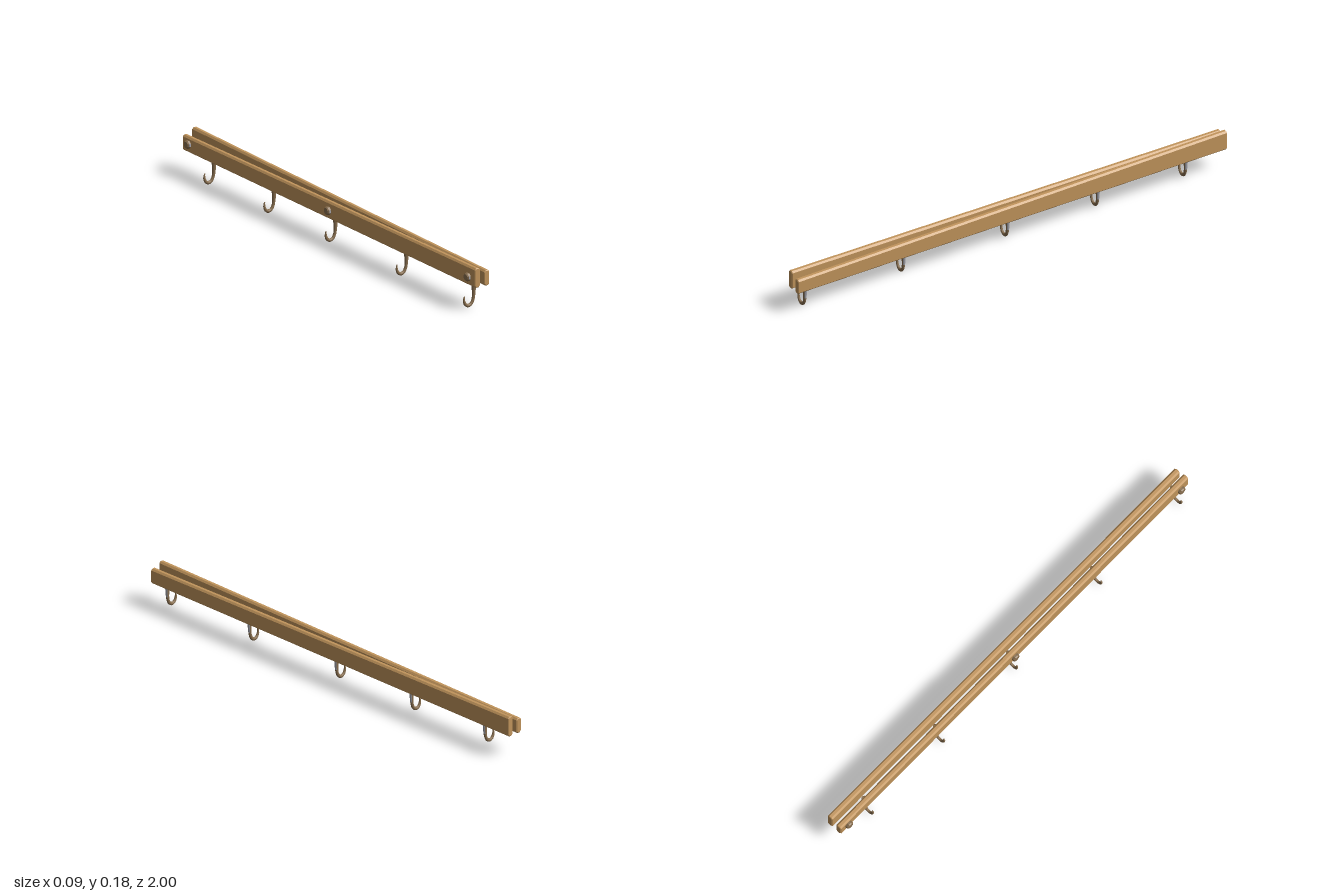
import * as THREE from 'three';

const wood = new THREE.MeshStandardMaterial({ color: 0xc2955c, flatShading: true });
wood.name = 'wood';
const bronze = new THREE.MeshStandardMaterial({ color: 0x8a7050 });
bronze.name = 'bronze';
const steel = new THREE.MeshStandardMaterial({ color: 0xa5a5ac });
steel.name = 'steel';

// Chamfered board along z whose top edge tapers from one end to the other
function plank(name, x, topFront, topBack) {
  const hw = 0.0125, c = 0.005, y0 = 0.096, h = 0.08, bevel = 0.003;
  const w = hw - bevel, b = y0 + bevel, t = y0 + h - bevel;
  const s = new THREE.Shape([
    [-w + c, b], [w - c, b], [w, b + c], [w, t - c],
    [w - c, t], [-w + c, t], [-w, t - c], [-w, b + c],
  ].map(([px, py]) => new THREE.Vector2(px, py)));
  const g = new THREE.ExtrudeGeometry(s, {
    depth: 2 - 2 * bevel, steps: 4, bevelEnabled: true,
    bevelSize: bevel, bevelThickness: bevel, bevelSegments: 1,
  });
  g.translate(x, 0, -1 + bevel);
  const p = g.attributes.position;
  for (let i = 0; i < p.count; i++) {
    const y = p.getY(i);
    if (y < y0 + h / 2) continue;
    const top = THREE.MathUtils.lerp(topBack, topFront, (p.getZ(i) + 1) / 2);
    p.setY(i, y + top - (y0 + h));
  }
  g.computeVertexNormals();
  const m = new THREE.Mesh(g, wood);
  m.name = name;
  return m;
}

// Hook: oval rings swept along a curve, thinning towards the tip
function hookGeometry() {
  // x, y, half width in the curve plane, half width along z
  const stations = [
    [0.006, 0.108, 0.0120, 0.010], [0.006, 0.090, 0.0110, 0.009],
    [0.006, 0.068, 0.0085, 0.0075], [0.005, 0.045, 0.0068, 0.0065],
    [0.001, 0.026, 0.0066, 0.006], [-0.008, 0.012, 0.0070, 0.006],
    [-0.021, 0.0075, 0.0073, 0.006], [-0.033, 0.0135, 0.0065, 0.0055],
    [-0.0395, 0.026, 0.0052, 0.005], [-0.0405, 0.038, 0.0038, 0.004],
    [-0.0385, 0.049, 0.0020, 0.0025],
  ];
  const curve = new THREE.CatmullRomCurve3(stations.map(([x, y]) => new THREE.Vector3(x, y, 0)));
  const rings = 30, sides = 10, last = stations.length - 1;
  const pos = [], brown = [], grey = [];
  for (let i = 0; i <= rings; i++) {
    const t = i / rings, f = t * last, k = Math.min(Math.floor(f), last - 1);
    const a = stations[k], b = stations[k + 1];
    const rw = THREE.MathUtils.lerp(a[2], b[2], f - k);
    const rz = THREE.MathUtils.lerp(a[3], b[3], f - k);
    const p = curve.getPoint(t), d = curve.getTangent(t);
    for (let j = 0; j < sides; j++) {
      const ang = (j - 0.5) / sides * Math.PI * 2;
      const u = Math.cos(ang) * rw;
      pos.push(p.x - d.y * u, p.y + d.x * u, Math.sin(ang) * rz);
    }
  }
  for (let i = 0; i < rings; i++) {
    for (let j = 0; j < sides; j++) {
      const n = (j + 1) % sides;
      const a = i * sides + j, b = i * sides + n;
      // Worn outer face of the shank
      const list = i < 9 && (j === 0 || j === 1 || j === sides - 1) ? grey : brown;
      list.push(a, b, a + sides, b, b + sides, a + sides);
    }
  }
  // End caps
  const end = rings * sides;
  for (let j = 1; j < sides - 1; j++) {
    brown.push(0, j + 1, j, end, end + j, end + j + 1);
  }
  const g = new THREE.BufferGeometry();
  g.setAttribute('position', new THREE.Float32BufferAttribute(pos, 3));
  g.setIndex([...brown, ...grey]);
  g.addGroup(0, brown.length, 0);
  g.addGroup(brown.length, grey.length, 1);
  g.computeVertexNormals();
  return g;
}

// Eight-sided bolt head pointing to -x, with a bright facet on the front
function bolt(z) {
  const group = new THREE.Group();
  group.name = 'bolt';
  const r = 0.0172;
  const add = (name, geo, x) => {
    geo.rotateY(Math.PI / 8);
    geo.rotateZ(Math.PI / 2);
    const m = new THREE.Mesh(geo.toNonIndexed(), bronze);
    m.geometry.computeVertexNormals();
    m.position.x = x;
    m.name = name;
    group.add(m);
  };
  add('boltCollar', new THREE.CylinderGeometry(r, r, 0.011, 8), -0.0305);
  add('boltCap', new THREE.CylinderGeometry(0.0135, r, 0.005, 8), -0.0385);
  const facet = new THREE.Mesh(new THREE.BoxGeometry(0.008, 0.0125, 0.001), steel);
  facet.position.set(-0.031, 0, r * Math.cos(Math.PI / 8));
  facet.name = 'boltFacet';
  group.add(facet);
  group.position.set(0, 0.132, z);
  return group;
}

export function createModel() {
  const model = new THREE.Group();
  model.name = 'hookRail';

  // Two boards tapering in opposite directions
  model.add(plank('rightPlank', -0.0142, 0.177, 0.16));
  model.add(plank('leftPlank', 0.0313, 0.16, 0.181));

  // Hooks held in the gap between the boards
  const hook = hookGeometry();
  for (const z of [0.945, 0.485, 0, -0.42, -0.83]) {
    const m = new THREE.Mesh(hook, [bronze, steel]);
    m.position.z = z;
    m.name = 'hook';
    model.add(m);
  }

  for (const z of [0.955, 0, -0.957]) model.add(bolt(z));
  return model;
}
